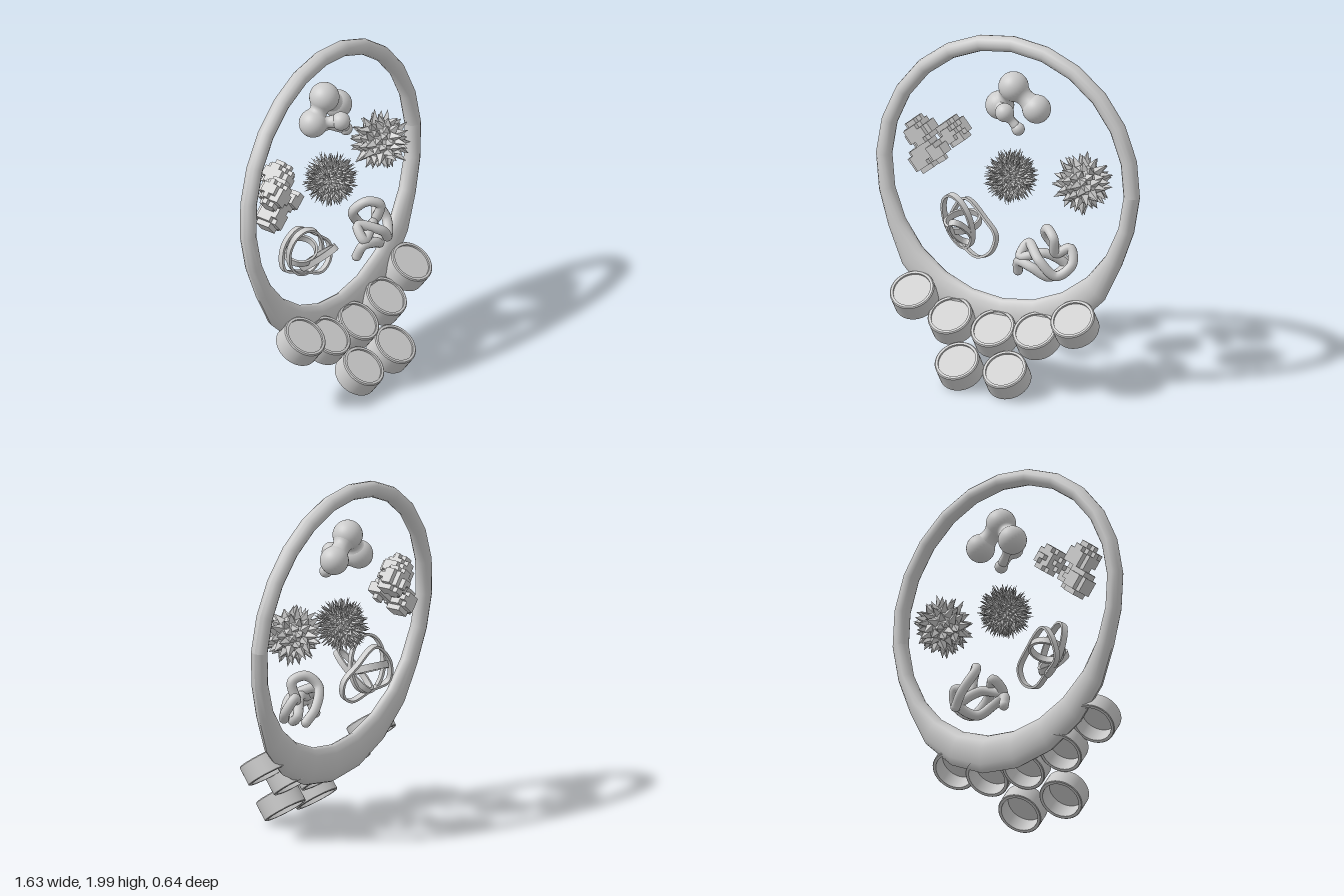
import * as THREE from 'three';
import { mergeGeometries } from 'three/addons/utils/BufferGeometryUtils.js';

const V = (x, y, z) => new THREE.Vector3(x, y, z);
const UP = V(0, 1, 0);
const smooth = new THREE.MeshStandardMaterial({ color: 0xcccccc, side: THREE.DoubleSide });
const flat = new THREE.MeshStandardMaterial({ color: 0xcccccc, flatShading: true });

function seeded(seed) {
  return () => (seed = (seed * 16807) % 2147483647) / 2147483647;
}

function add(parent, name, geometry, material = smooth) {
  const mesh = new THREE.Mesh(geometry, material);
  mesh.name = name;
  parent.add(mesh);
  return mesh;
}

// Tilted hoop: thin at the top, swelling outward into a broad base
function hoopGeometry() {
  const radial = 14, segments = 24;
  const geo = new THREE.TorusGeometry(1, 0.1, radial, segments);
  const outer = [0.945, 0.94, 0.92, 0.885, 0.83, 0.813];
  const pos = geo.attributes.position;
  for (let j = 0; j <= radial; j++) {
    for (let i = 0; i <= segments; i++) {
      const u = (i / segments) * Math.PI * 2, v = (j / radial) * Math.PI * 2;
      const stepsFromBottom = Math.min(Math.abs(i - 18), 24 - Math.abs(i - 18));
      const out = outer[Math.min(stepsFromBottom, 5)];
      const r = (0.722 + out) / 2 + ((out - 0.722) / 2) * Math.cos(v);
      pos.setXYZ(j * (segments + 1) + i, r * Math.cos(u), r * Math.sin(u), 0.047 * Math.sin(v));
    }
  }
  geo.computeVertexNormals();
  return geo;
}

// Open-bottomed cup with a disc set just below its rim
function cup(x, y, z) {
  const g = new THREE.Group();
  g.name = 'cup';
  const h = 0.058, ro = 0.128, ri = 0.108;
  const profile = [[ri, -h], [ro - 0.004, -h], [ro, -h + 0.004], [ro, h - 0.006], [ro - 0.006, h], [ri, h], [ri, -h]];
  const wallParts = [];
  for (let i = 0; i < profile.length - 1; i++) {
    wallParts.push(new THREE.LatheGeometry([profile[i], profile[i + 1]].map(p => new THREE.Vector2(...p)), 40));
  }
  add(g, 'cupWall', mergeGeometries(wallParts));
  const disc = add(g, 'cupDisc', new THREE.CircleGeometry(ri, 40));
  disc.rotation.x = -Math.PI / 2;
  disc.position.y = h - 0.012;
  g.position.set(x, y, z);
  g.rotation.x = 0.61;
  return g;
}

// Balls joined by pinched necks
function ballCluster() {
  const g = new THREE.Group();
  g.name = 'ballCluster';
  const balls = [
    [V(0.01, 1.705, -0.18), 0.085], [V(-0.08, 1.575, -0.19), 0.081], [V(0.148, 1.59, -0.19), 0.081],
    [V(0.01, 1.59, -0.065), 0.053], [V(0.085, 1.497, -0.085), 0.037],
  ];
  for (const [c, r] of balls) add(g, 'ball', new THREE.SphereGeometry(r, 28, 20)).position.copy(c);
  for (const [a, b] of [[0, 1], [0, 2], [1, 3], [3, 4], [1, 4]]) {
    const [ca, ra] = balls[a], [cb, rb] = balls[b];
    const dir = cb.clone().sub(ca), len = dir.length(), pts = [];
    for (let i = 0; i <= 10; i++) {
      const t = i / 10, edge = 0.71 * THREE.MathUtils.lerp(ra, rb, t), mid = 0.62 * Math.min(ra, rb);
      pts.push(new THREE.Vector2(mid + (edge - mid) * (2 * t - 1) ** 2, THREE.MathUtils.lerp(0.7 * ra, len - 0.7 * rb, t)));
    }
    const neck = add(g, 'neck', new THREE.LatheGeometry(pts, 24));
    neck.position.copy(ca);
    neck.quaternion.setFromUnitVectors(UP, dir.normalize());
  }
  return g;
}

// Stepped lump of small cubes filling a few round lobes
function cubeCluster() {
  const s = 0.029, turn = 0.68, n = 9, boxes = [];
  const lobes = [[V(-0.08, 0.075, 0.03), 0.08], [V(0.085, 0.065, -0.07), 0.08], [V(-0.07, -0.09, 0), 0.078], [V(0.04, -0.02, 0.06), 0.05]]
    .map(([c, r]) => [c.applyAxisAngle(V(0, 0, 1), -turn), r]);
  const inside = p => lobes.reduce((sum, [c, r]) => sum + (r / Math.max(c.distanceTo(p), 1e-4)) ** 4, 0) > 1;
  const sides = [V(s, 0, 0), V(-s, 0, 0), V(0, s, 0), V(0, -s, 0), V(0, 0, s), V(0, 0, -s)];
  for (let i = -n; i <= n; i++) for (let j = -n; j <= n; j++) for (let k = -n; k <= n; k++) {
    const p = V(i * s, j * s, k * s);
    if (!inside(p) || sides.every(d => inside(p.clone().add(d)))) continue;
    boxes.push(new THREE.BoxGeometry(s, s, s).translate(p.x, p.y, p.z));
  }
  const geo = mergeGeometries(boxes).rotateZ(turn).translate(-0.455, 1.29, -0.15);
  return new THREE.Mesh(geo, flat);
}

// Core sphere covered with evenly spread, slightly irregular cones
function spikyBall(center, core, count, width, minLen, maxLen, sides, seed) {
  const rand = seeded(seed), parts = [new THREE.IcosahedronGeometry(core, 2)];
  const q = new THREE.Quaternion();
  for (let i = 0; i < count; i++) {
    const y = 1 - (2 * (i + 0.5)) / count, a = i * 2.39996, r = Math.sqrt(1 - y * y);
    const dir = V(r * Math.cos(a), y, r * Math.sin(a));
    const lean = dir.clone().add(V(rand() - 0.5, rand() - 0.5, rand() - 0.5).multiplyScalar(0.7)).normalize();
    const len = minLen + (maxLen - minLen) * rand();
    const cone = new THREE.ConeGeometry(width, len, sides).translate(0, len / 2, 0).toNonIndexed();
    cone.applyQuaternion(q.setFromUnitVectors(UP, lean));
    dir.multiplyScalar(core * 0.93);
    parts.push(cone.translate(dir.x, dir.y, dir.z));
  }
  return new THREE.Mesh(mergeGeometries(parts).translate(...center), flat);
}

// Flat-banded closed loop: edges run along the axis of the loop's plane
function band(points, width, thick) {
  const curve = new THREE.CatmullRomCurve3(points, true);
  const mid = points.reduce((m, p) => m.add(p), V(0, 0, 0)).divideScalar(points.length);
  const axis = V(0, 0, 0);
  points.forEach((p, i) => axis.add(p.clone().sub(mid).cross(points[(i + 1) % points.length].clone().sub(mid))));
  axis.normalize();
  const n = 64, pos = [], idx = [];
  const corners = [[1, 1], [-1, 1], [-1, -1], [1, -1]];
  for (let i = 0; i <= n; i++) {
    const p = curve.getPointAt((i % n) / n), out = curve.getTangentAt((i % n) / n).cross(axis).normalize();
    for (let k = 0; k < 4; k++) for (const [a, o] of [corners[k], corners[(k + 1) % 4]]) {
      const c = p.clone().addScaledVector(axis, (a * width) / 2).addScaledVector(out, (o * thick) / 2);
      pos.push(c.x, c.y, c.z);
    }
    if (i < n) for (let k = 0; k < 8; k += 2) {
      const a = i * 8 + k, b = a + 8;
      idx.push(a, a + 1, b, a + 1, b + 1, b);
    }
  }
  const geo = new THREE.BufferGeometry();
  geo.setAttribute('position', new THREE.Float32BufferAttribute(pos, 3));
  geo.setIndex(idx);
  geo.computeVertexNormals();
  return geo;
}

function bandCluster() {
  const g = new THREE.Group();
  g.name = 'bandCluster';
  const oval = (c, a, b) => Array.from({ length: 12 }, (_, i) => {
    const t = (i / 12) * Math.PI * 2;
    return c.clone().addScaledVector(a, Math.cos(t)).addScaledVector(b, Math.sin(t));
  });
  add(g, 'tallBand', band(oval(V(-0.29, 0.875, -0.09), V(0.1, 0.01, 0.04), V(-0.03, 0.158, 0.02)), 0.035, 0.014));
  add(g, 'frontBand', band(oval(V(-0.245, 0.835, -0.03), V(0.052, 0.01, 0), V(0.005, 0.1, 0.11)), 0.035, 0.014));
  add(g, 'levelBand', band(oval(V(-0.28, 0.86, -0.13), V(0.1, 0.012, 0), V(0, 0.03, -0.08)), 0.04, 0.014));
  add(g, 'wideBand', band([V(-0.27, 0.99, -0.16), V(-0.14, 0.9, -0.13), V(-0.06, 0.82, -0.1),
    V(-0.08, 0.73, -0.08), V(-0.16, 0.685, -0.08), V(-0.28, 0.73, -0.12), V(-0.38, 0.77, -0.17), V(-0.36, 0.9, -0.19)], 0.035, 0.014));
  return g;
}

// Tangled round cord with rounded ends
function tangledCord() {
  const g = new THREE.Group();
  g.name = 'tangledCord';
  const path = [
    [0.11, 0.67, -0.03], [0.13, 0.74, 0], [0.22, 0.725, 0.02], [0.31, 0.67, -0.02], [0.37, 0.72, -0.1], [0.27, 0.8, -0.04],
    [0.14, 0.77, 0], [0.16, 0.835, -0.06], [0.27, 0.78, 0.03], [0.36, 0.69, 0], [0.43, 0.75, -0.06], [0.4, 0.83, -0.1],
    [0.33, 0.8, -0.06], [0.33, 0.9, -0.03], [0.27, 0.93, -0.08], [0.23, 0.87, -0.14], [0.3, 0.76, -0.17], [0.36, 0.69, -0.15],
  ].map(p => V(...p));
  add(g, 'cord', new THREE.TubeGeometry(new THREE.CatmullRomCurve3(path), 180, 0.028, 12));
  for (const end of [path[0], path[path.length - 1]]) {
    add(g, 'cordEnd', new THREE.SphereGeometry(0.028, 12, 10)).position.copy(end);
  }
  return g;
}

export function createModel() {
  const model = new THREE.Group();
  model.name = 'hoopDisplay';

  const hoop = add(model, 'hoop', hoopGeometry());
  hoop.position.set(0, 1.188, -0.13);
  hoop.rotation.x = -0.085;

  // Two rows of cups along the base
  const cups = new THREE.Group();
  cups.name = 'cups';
  for (const [x, y, z] of [[-0.5, 0.437, 0.037], [-0.265, 0.327, 0.037], [0, 0.295, 0.037], [0.26, 0.327, 0.037],
    [0.495, 0.437, 0.037], [-0.15, 0.125, 0.185], [0.145, 0.125, 0.185]]) cups.add(cup(x, y, z));
  model.add(cups);

  // Floating shapes inside the hoop
  const cubes = cubeCluster();
  cubes.name = 'cubeCluster';
  const fine = spikyBall([0.015, 1.18, -0.14], 0.1, 320, 0.011, 0.04, 0.078, 4, 7);
  fine.name = 'fineSpikyBall';
  const coarse = spikyBall([0.46, 1.22, -0.13], 0.115, 85, 0.029, 0.045, 0.085, 4, 23);
  coarse.name = 'coarseSpikyBall';
  model.add(ballCluster(), cubes, fine, coarse, bandCluster(), tangledCord());
  return model;
}
